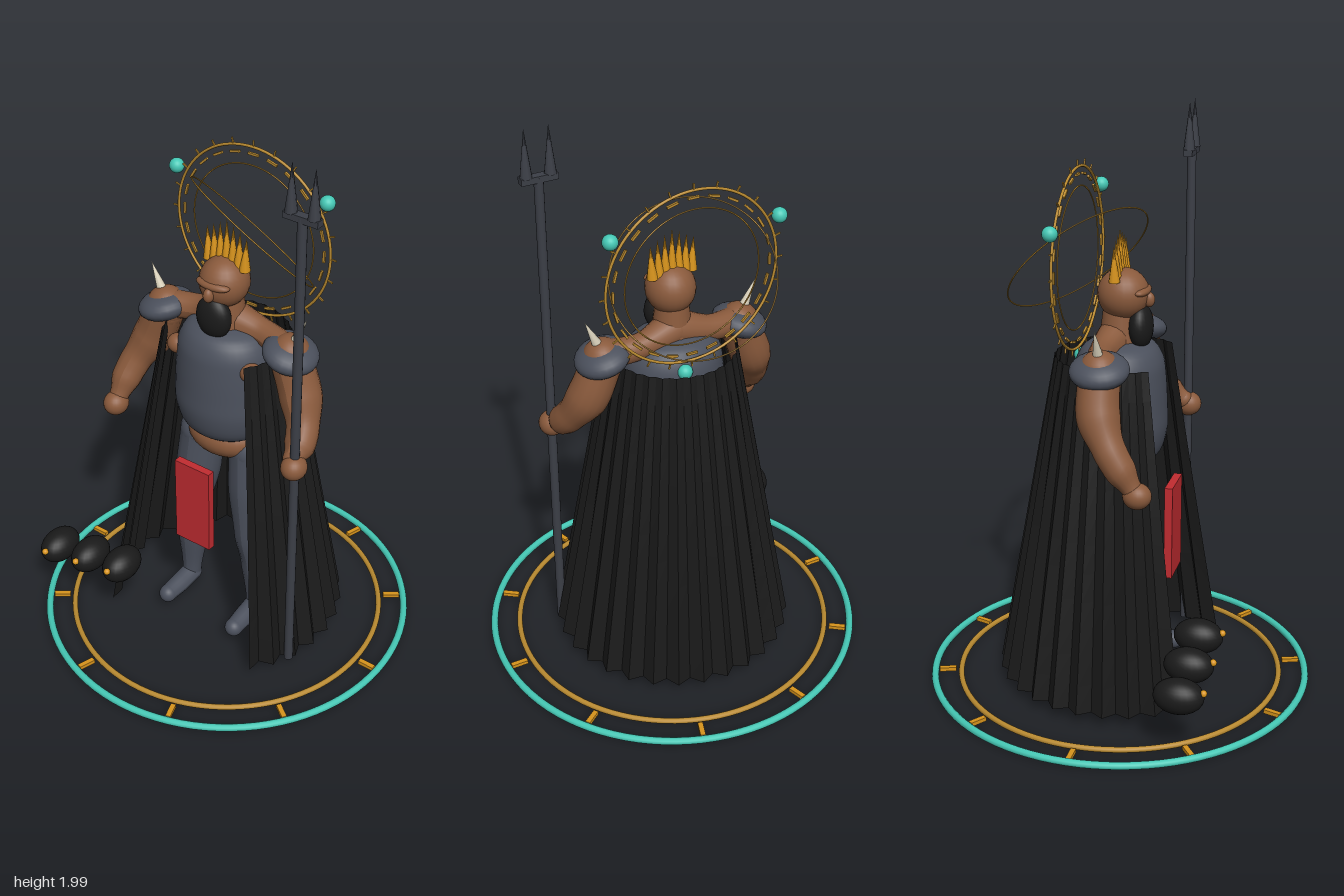
import * as THREE from 'three';

const mat = (name, color, side = THREE.FrontSide) => {
  const m = new THREE.MeshStandardMaterial({ color, side });
  m.name = name;
  return m;
};

export function createModel() {
  const root = new THREE.Group();
  root.name = 'caped king';
  const skin = mat('brown skin', 0x8a5a3c);
  const armor = mat('slate armour', 0x4b505c);
  const iron = mat('dark iron', 0x3c3f47);
  const black = mat('black', 0x1a1a1a);
  const cloth = mat('black cape', 0x1a1a1a, THREE.DoubleSide);
  const gold = mat('gold', 0xb98a30);
  const crownGold = mat('crown gold', 0xd8941c);
  const teal = mat('teal', 0x45c8b5);
  const red = mat('red cloth', 0xc22c31);
  const ivory = mat('ivory', 0xd8d0ba);

  const add = (name, geo, material, p = [0, 0, 0], r = [0, 0, 0], parent = root) => {
    const m = new THREE.Mesh(geo, material);
    m.name = name;
    m.position.set(...p);
    m.rotation.set(...r);
    parent.add(m);
    return m;
  };
  const ball = (name, material, p, s, r, parent) => {
    const m = add(name, new THREE.SphereGeometry(1, 24, 16), material, p, r, parent);
    m.scale.set(...s);
    return m;
  };

  // Tapered limb through points [x, y, z, radius], with rounded ends
  const limb = (name, material, pts) => {
    const g = new THREE.Group();
    g.name = name;
    root.add(g);
    const curve = new THREE.CatmullRomCurve3(pts.map(p => new THREE.Vector3(p[0], p[1], p[2])));
    const n = 24, sides = 16;
    const geo = new THREE.TubeGeometry(curve, n, 1, sides);
    const pos = geo.attributes.position, nor = geo.attributes.normal;
    for (let i = 0; i <= n; i++) {
      const t = curve.getUtoTmapping(i / n) * (pts.length - 1);
      const k = Math.min(Math.floor(t), pts.length - 2);
      const r = THREE.MathUtils.lerp(pts[k][3], pts[k + 1][3], THREE.MathUtils.smoothstep(t - k, 0, 1));
      const c = curve.getPointAt(i / n);
      for (let j = 0; j <= sides; j++) {
        const v = i * (sides + 1) + j;
        pos.setXYZ(v, c.x + nor.getX(v) * r, c.y + nor.getY(v) * r, c.z + nor.getZ(v) * r);
      }
    }
    geo.computeVertexNormals();
    add(name + ' surface', geo, material, undefined, undefined, g);
    for (const p of [pts[0], pts[pts.length - 1]])
      ball(name + ' end', material, p.slice(0, 3), [p[3], p[3], p[3]], undefined, g);
  };

  // Floor rings with ten spokes
  const flat = [Math.PI / 2, 0, 0];
  add('outer floor ring', new THREE.TorusGeometry(0.667, 0.013, 10, 96), teal, [0, 0.018, 0], flat);
  add('inner floor ring', new THREE.TorusGeometry(0.573, 0.01, 10, 96), gold, [0, 0.018, 0], flat);
  for (let i = 0; i < 10; i++) {
    const a = i * Math.PI / 5;
    add('floor spoke', new THREE.BoxGeometry(0.06, 0.014, 0.018), crownGold,
      [Math.cos(a) * 0.622, 0.016, -Math.sin(a) * 0.622], [0, a, 0]);
  }

  // Torso and hips
  const profile = [[0, 0.81], [0.1, 0.82], [0.16, 0.86], [0.185, 0.94], [0.184, 1.02], [0.178, 1.12],
    [0.165, 1.19], [0.12, 1.24], [0, 1.265]].map(p => new THREE.Vector2(...p));
  add('torso', new THREE.LatheGeometry(new THREE.SplineCurve(profile).getPoints(32)
    .map(p => new THREE.Vector2(Math.max(0, p.x), p.y)), 40), armor).scale.z = 0.88;
  ball('hips', skin, [0, 0.8, 0], [0.145, 0.085, 0.115]);
  add('loincloth', new THREE.BoxGeometry(0.145, 0.335, 0.028), red, [0, 0.587, 0.19]);

  // Head, face and beard
  add('neck', new THREE.CylinderGeometry(0.055, 0.075, 0.16, 20), skin, [0, 1.29, 0]);
  ball('head', skin, [0, 1.41, 0.012], [0.085, 0.088, 0.088]);
  ball('brow', skin, [0, 1.425, 0.075], [0.065, 0.018, 0.03]);
  ball('nose', skin, [0, 1.395, 0.1], [0.018, 0.026, 0.02]);
  ball('beard', black, [0, 1.3, 0.072], [0.066, 0.078, 0.042]);

  // Crown: a row of spikes, tallest in the middle
  for (let i = -3; i <= 3; i++) {
    const h = 0.165 - Math.abs(i) * 0.015;
    add('crown spike', new THREE.ConeGeometry(0.02, h, 8), crownGold, [i * 0.025, 1.465 + h / 2, 0], [0, 0, -i * 0.02]);
  }

  // Paired body parts
  for (const s of [-1, 1]) {
    const side = s > 0 ? 'left ' : 'right ';
    limb(side + 'trapezius', skin, [[0, 1.27, -0.01, 0.06], [s * 0.13, 1.24, -0.025, 0.045], [s * 0.25, 1.225, 0, 0.05]]);
    ball(side + 'shoulder', skin, [s * 0.255, 1.215, 0], [0.07, 0.072, 0.07]);
    ball(side + 'chest patch', skin, [s * 0.15, 1.14, 0.075], [0.038, 0.035, 0.035]);
    ball(side + 'shoulder pad', armor, [s * 0.258, 1.22, 0], [0.095, 0.05, 0.1], [0, 0, -s * 0.28]);
    add(side + 'shoulder horn', new THREE.ConeGeometry(0.024, 0.14, 12), ivory, [s * 0.288, 1.305, 0], [0, 0, -s * 0.42]);
    const lift = s > 0 ? 0.06 : 0;
    limb(side + 'arm', skin, [[s * 0.26, 1.2, 0, 0.07], [s * 0.308, 1.08, 0.01, 0.073],
      [s * 0.35, 0.99, 0.055, 0.056], [s * 0.365, 0.93 + lift / 3, 0.095, 0.053], [s * 0.37, 0.865 + lift, 0.14, 0.034]]);
    ball(side + 'fist', skin, [s * (s > 0 ? 0.385 : 0.37), 0.845 + lift, 0.155], [0.044, 0.044, 0.048]);
    limb(side + 'leg', armor, [[s * 0.105, 0.76, 0, 0.08], [s * 0.115, 0.62, 0.01, 0.083],
      [s * 0.13, 0.42, 0.03, 0.062], [s * 0.142, 0.28, 0.015, 0.056], [s * 0.148, 0.09, 0.02, 0.036]]);
    limb(side + 'foot', armor, [[s * 0.148, 0.075, 0.02, 0.037], [s * 0.15, 0.066, 0.09, 0.037], [s * 0.152, 0.062, 0.165, 0.033]]);
  }

  // Pleated cape, open at the front
  const pleats = 22, cols = pleats * 2, rows = 12;
  const cape = new THREE.PlaneGeometry(1, 1, cols, rows);
  const cp = cape.attributes.position;
  for (let i = 0; i <= rows; i++) {
    for (let j = 0; j <= cols; j++) {
      const t = i / rows;
      const a = THREE.MathUtils.lerp(THREE.MathUtils.lerp(0.88, 0.82, t), 2 * Math.PI - THREE.MathUtils.lerp(0.88, 0.82, t), j / cols);
      const r = 0.218 + 0.195 * t + (j % 2 ? -1 : 1) * (0.003 + 0.014 * t);
      cp.setXYZ(i * (cols + 1) + j, Math.sin(a) * r, 1.2 - 1.155 * t, Math.cos(a) * r);
    }
  }
  const capeFlat = cape.toNonIndexed();
  capeFlat.computeVertexNormals();
  add('cape', capeFlat, cloth);

  // Two-pronged spear
  const sx = 0.386, sz = 0.153;
  add('spear shaft', new THREE.CylinderGeometry(0.016, 0.016, 1.79, 14), iron, [sx, 0.935, sz]);
  add('spear crossbar', new THREE.BoxGeometry(0.125, 0.022, 0.03), iron, [sx, 1.826, sz]);
  for (const s of [-1, 1])
    add('spear prong', new THREE.ConeGeometry(0.021, 0.165, 8), iron, [sx + s * 0.041, 1.917, sz]);

  // Halo behind the head
  const halo = new THREE.Group();
  halo.name = 'halo';
  halo.position.set(0, 1.52, -0.143);
  root.add(halo);
  const ring = (name, r, tube) => add(name, new THREE.TorusGeometry(r, tube, 8, 80), gold, undefined, undefined, halo);
  ring('halo outer ring', 0.305, 0.005);
  ring('halo inner ring', 0.24, 0.0025);
  ring('halo tilted ring', 0.268, 0.0025).quaternion.setFromUnitVectors(
    new THREE.Vector3(0, 0, 1), new THREE.Vector3(-0.37, -0.69, 0.62).normalize());
  for (let i = 0; i < 24; i++) {
    const a = i * Math.PI / 12, c = Math.cos(a), s = Math.sin(a);
    add('halo dash', new THREE.BoxGeometry(0.008, 0.04, 0.008), gold, [c * 0.28, s * 0.28, 0], [0, 0, a], halo);
    add('halo tick', new THREE.BoxGeometry(0.022, 0.005, 0.005), gold, [c * 0.317, s * 0.317, 0], [0, 0, a], halo);
  }
  for (let i = 0; i < 3; i++) {
    const a = 0.6 + i * Math.PI * 2 / 3;
    ball('halo orb', teal, [Math.cos(a) * 0.345, Math.sin(a) * 0.345, 0], [0.026, 0.026, 0.026], undefined, halo);
  }

  // Three floating black eggs with glowing tips
  for (let i = 0; i < 3; i++) {
    const x = -0.525 + i * 0.15, y = 0.232 + i * 0.031;
    ball('floating egg', black, [x, y, 0.335], [0.06, 0.06, 0.085]);
    ball('egg tip', crownGold, [x, y + 0.02, 0.417], [0.012, 0.012, 0.012]);
  }
  return root;
}
